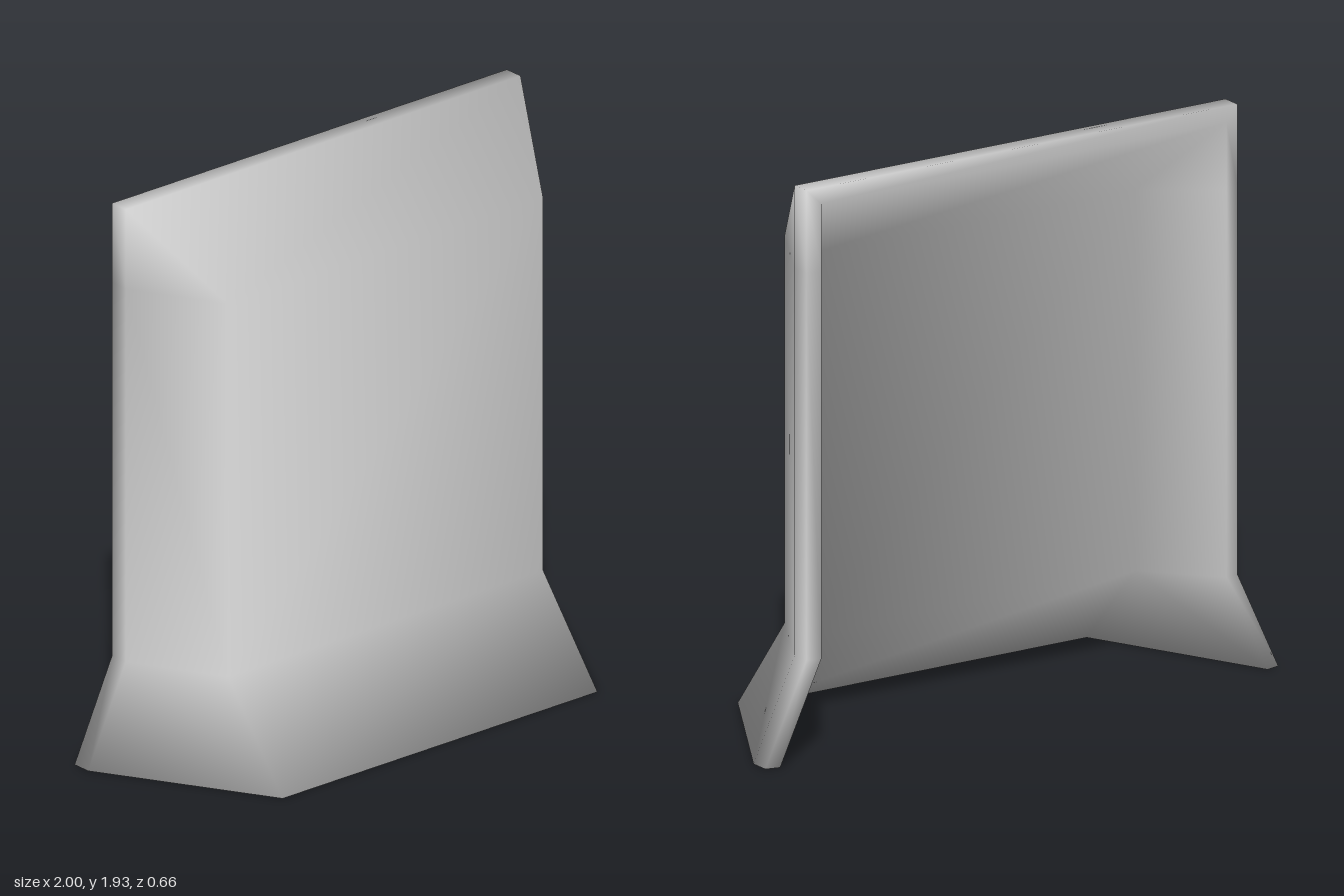
import * as THREE from 'three';
import { mergeVertices } from 'three/addons/utils/BufferGeometryUtils.js';

// Left half of each arch-shaped ring, bottom to top: [x, y, z]
const arch = (inset, z) => [
  [-1 + inset, 0, z], [-0.84 + inset, 0.34, z],
  [-0.84 + inset, 1.65, z], [-0.84 + inset, 1.93 - inset, z],
];

// Rings run from the outer front panel, around the rim, to the inner panel
const rings = [
  [[-0.67, 0, 0.33], [-0.67, 0.34, 0.06], [-0.67, 1.65, 0.06], [-0.67, 1.65, 0.06]],
  arch(0, -0.25),
  arch(0, -0.318),
  arch(0.05, -0.33),
  [[-0.66, 0, 0.285], [-0.64, 0.31, -0.025], [-0.64, 1.6, -0.025], [-0.64, 1.6, -0.025]],
].map((half) => [...half, ...half.slice().reverse().map(([x, y, z]) => [-x, y, z])]);

// Smooth geometry whose shared normals are weighted by corner angle
function smoothGeometry(quads) {
  const points = [];
  for (const quad of quads) {
    const [a, b, c, d] = quad.map((p) => new THREE.Vector3(...p));
    for (const t of [[a, b, c], [a, c, d]]) {
      if (new THREE.Triangle(...t).getArea() > 1e-6) points.push(...t);
    }
  }
  const geometry = mergeVertices(new THREE.BufferGeometry().setFromPoints(points), 1e-4);
  const index = geometry.index.array;
  const normals = Array.from({ length: geometry.attributes.position.count }, () => new THREE.Vector3());
  for (let t = 0; t < points.length; t += 3) {
    const corners = points.slice(t, t + 3);
    const face = new THREE.Triangle(...corners).getNormal(new THREE.Vector3());
    corners.forEach((corner, k) => {
      const next = corners[(k + 1) % 3].clone().sub(corner);
      const previous = corners[(k + 2) % 3].clone().sub(corner);
      normals[index[t + k]].addScaledVector(face, next.angleTo(previous));
    });
  }
  const flat = normals.flatMap((n) => n.normalize().toArray());
  geometry.setAttribute('normal', new THREE.Float32BufferAttribute(flat, 3));
  return geometry;
}

export function createModel() {
  const group = new THREE.Group();
  group.name = 'flaredShield';
  const grey = new THREE.MeshStandardMaterial({ color: 0xcccccc });
  grey.name = 'plainGrey';

  // Side, top and rim panels
  const quads = [];
  for (let r = 0; r < rings.length - 1; r++) {
    const p = rings[r], q = rings[r + 1];
    for (let i = 0; i < 7; i++) quads.push([p[i], p[i + 1], q[i + 1], q[i]]);
  }

  // Middle panels, outside and inside
  const outer = rings[0], inner = rings[4];
  for (let i = 0; i < 2; i++) {
    quads.push([outer[i], outer[7 - i], outer[6 - i], outer[i + 1]]);
    quads.push([inner[i + 1], inner[6 - i], inner[7 - i], inner[i]]);
  }

  // Underside closing the wall thickness
  quads.push([outer[0], inner[0], inner[7], outer[7]]);
  for (const loop of [[0, 1, 3, 4], [1, 2, 3, 3]]) {
    quads.push(loop.map((r) => rings[r][0]));
    quads.push(loop.map((r) => rings[r][7]).reverse());
  }

  const shell = new THREE.Mesh(smoothGeometry(quads), grey);
  shell.name = 'shell';
  group.add(shell);
  return group;
}
